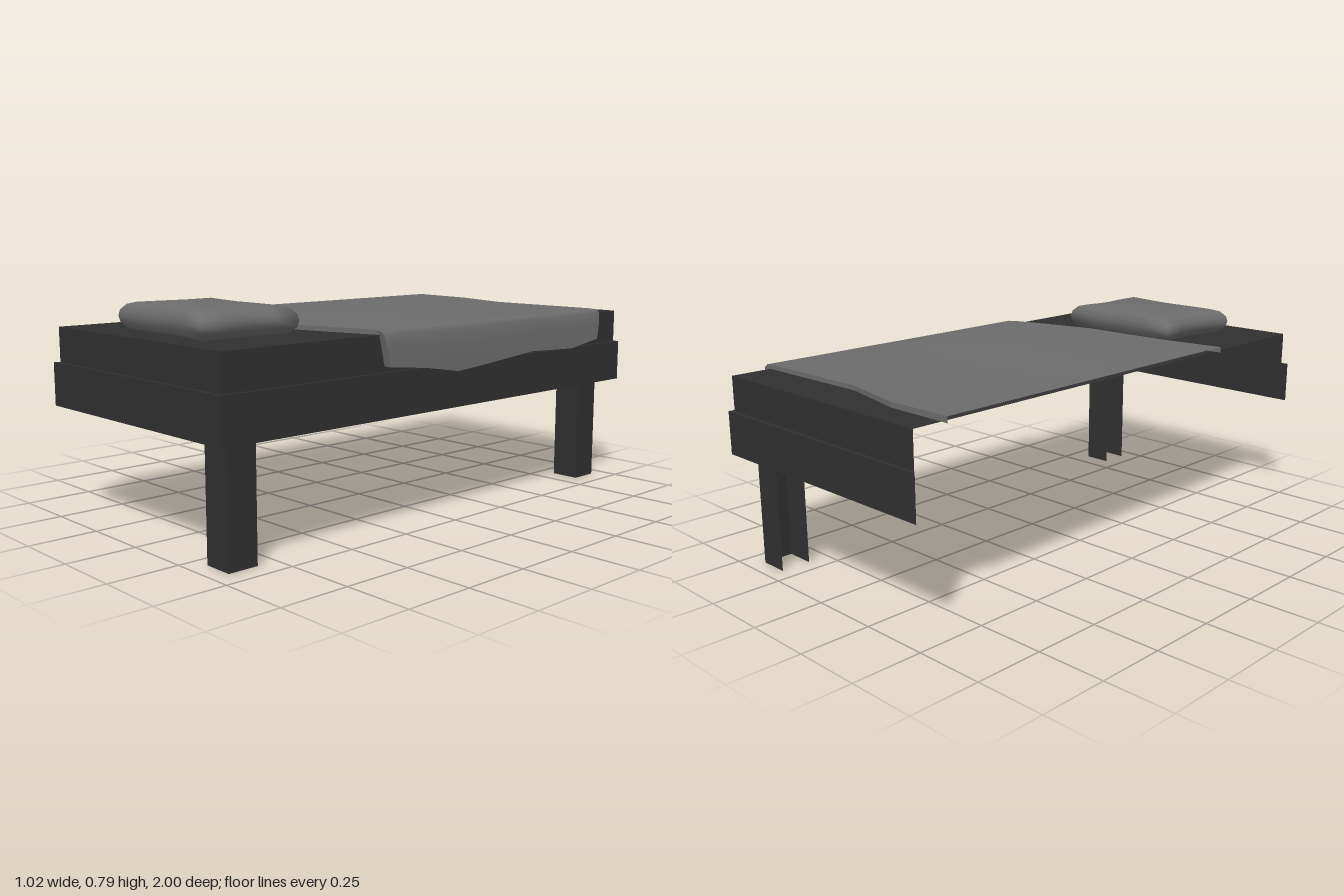
import * as THREE from 'three';

const dark = new THREE.MeshStandardMaterial({ color: 0x303030, side: THREE.DoubleSide });
dark.name = 'dark bed base';
const gray = new THREE.MeshStandardMaterial({ color: 0x6c6c6c, side: THREE.DoubleSide });
gray.name = 'gray bedding';

// Surface through rows of equally many [x, y, z] points
function loft(rows, flat = false) {
  const n = rows[0].length;
  const index = [];
  for (let i = 0; i < rows.length - 1; i++) {
    for (let j = 0; j < n - 1; j++) {
      const a = i * n + j;
      index.push(a, a + 1, a + n, a + 1, a + n + 1, a + n);
    }
  }
  let g = new THREE.BufferGeometry();
  g.setAttribute('position', new THREE.Float32BufferAttribute(rows.flat(2), 3));
  g.setIndex(index);
  if (flat) g = g.toNonIndexed();
  g.computeVertexNormals();
  return g;
}

function add(group, name, geometry, material) {
  const mesh = new THREE.Mesh(geometry, material);
  mesh.name = name;
  group.add(mesh);
}

// Three-sided wall outline, open towards -x
const channel = (y, x0, x1, z0, z1) => [[x0, y, z1], [x1, y, z1], [x1, y, z0], [x0, y, z0]];

// Piecewise linear lookup in ascending [key, value] pairs
function lookup(table, k) {
  for (let i = 1; i < table.length; i++) {
    const [a, va] = table[i - 1], [b, vb] = table[i];
    if (k <= b) return va + (vb - va) * Math.max(0, (k - a) / (b - a));
  }
  return table[table.length - 1][1];
}

function createBlanket() {
  const blanket = new THREE.Group();
  blanket.name = 'blanket';
  // Columns: x, front z, back z, drop from the top (0 to 1)
  const columns = [
    [-0.51, 0.49, -0.88, 0], [-0.25, 0.465, -0.88, 0], [0, 0.466, -0.825, 0],
    [0.1, 0.465, -0.827, 0], [0.3, 0.415, -0.832, 0], [0.46, 0.368, -0.835, 0],
    [0.488, 0.363, -0.836, 0.02], [0.502, 0.36, -0.838, 0.12],
    [0.506, 0.35, -0.835, 0.45], [0.509, 0.335, -0.82, 1],
  ];
  const hem = [[-0.82, 0.585], [-0.65, 0.56], [-0.41, 0.57], [-0.18, 0.55],
    [0, 0.535], [0.16, 0.562], [0.335, 0.58]];
  const rowCount = 14;
  const rows = [], inner = [];
  for (let i = 0; i <= rowCount; i++) {
    const row = [], under = [];
    for (const [x, zf, zb, drop] of columns) {
      const z = zf + (zb - zf) * i / rowCount;
      const fade = Math.max(0, 1 - Math.abs(x) / 0.5);
      const top = 0.702 + 0.005 * Math.max(0, -x / 0.51)
        + 0.016 * fade * Math.exp(-((z / 0.22) ** 2));
      const y = top + (lookup(hem, z) - top) * drop;
      row.push([x, y, z]);
      under.push([Math.min(x, 0.479), drop > 0.1 ? y : 0.686, z]);
    }
    rows.push(row);
    inner.push(under);
  }
  const last = columns.length - 1;
  add(blanket, 'blanket cover', loft(rows), gray);
  // Thin edges give the cloth its thickness
  add(blanket, 'front blanket edge', loft([inner[0], rows[0]], true), gray);
  add(blanket, 'back blanket edge', loft([rows[rowCount], inner[rowCount]], true), gray);
  add(blanket, 'blanket hem', loft([inner.map(r => r[last]), rows.map(r => r[last])], true), gray);
  return blanket;
}

function createPillow() {
  // Pinched-corner outline, counter-clockwise from above
  const outline = [[-0.29, 0.86], [-0.14, 0.862], [0, 0.86], [0.13, 0.878], [0.255, 0.9],
    [0.258, 0.79], [0.245, 0.69], [0.256, 0.6], [0.275, 0.525],
    [0.13, 0.532], [0, 0.53], [-0.13, 0.512], [-0.26, 0.49],
    [-0.254, 0.59], [-0.253, 0.68], [-0.272, 0.77], [-0.29, 0.86]];
  const cx = -0.005, cz = 0.69;
  // Rings: height, scale
  const rings = [[0.685, 0.88], [0.708, 0.98], [0.73, 1], [0.75, 0.98], [0.77, 0.9],
    [0.778, 0.78], [0.784, 0.5], [0.79, 0]];
  return loft(rings.map(([y, s]) =>
    outline.map(([x, z]) => [cx + (x - cx) * s, y, cz + (z - cz) * s])));
}

export function createModel() {
  const bed = new THREE.Group();
  bed.name = 'bed';

  // Frame with its narrow ledge, then the mattress walls
  add(bed, 'frame', loft([
    channel(0.405, -0.5, 0.49, -1, 1),
    channel(0.56, -0.5, 0.49, -1, 1),
    channel(0.56, -0.48, 0.475, -0.985, 0.985),
  ], true), dark);
  add(bed, 'mattress sides', loft([
    channel(0.56, -0.48, 0.475, -0.985, 0.985),
    channel(0.685, -0.48, 0.475, -0.985, 0.985),
  ], true), dark);
  add(bed, 'mattress top', loft([
    [[-0.48, 0.685, 0.985], [0.475, 0.685, 0.985]],
    [[-0.48, 0.685, -0.985], [0.475, 0.685, -0.985]],
  ], true), dark);

  // Legs, open on the inner side
  for (const [name, z] of [['front leg', 0.88], ['back leg', -0.885]]) {
    add(bed, name, loft([0, 0.41].map(y =>
      channel(y, 0.312, 0.423, z - 0.055, z + 0.055)), true), dark);
  }

  bed.add(createBlanket());
  add(bed, 'pillow', createPillow(), gray);
  return bed;
}
